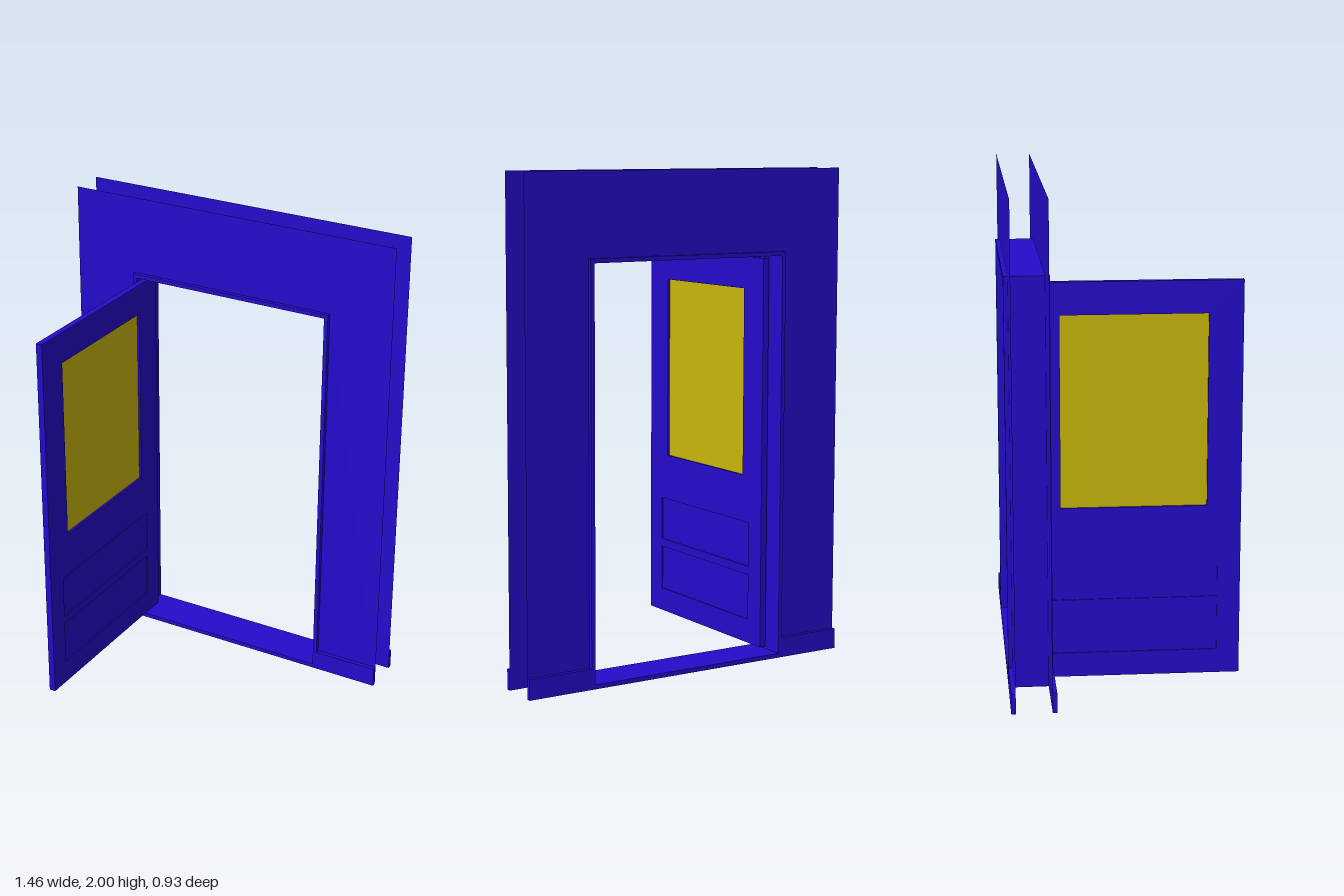
import * as THREE from 'three';

const blue = new THREE.MeshStandardMaterial({ color: 0x240ccc });
const blueThin = new THREE.MeshStandardMaterial({ color: 0x240ccc, side: THREE.DoubleSide });
const yellow = new THREE.MeshStandardMaterial({ color: 0xccb80c });

const BACK = -0.466, FRONT = -0.287; // depth of the frame
const OPEN_X = 0.455, OPEN_Y = 1.67; // opening in the walls
const WALL_X = 0.73, WALL_Y = 2;
const BOARD = 0.018;                 // board thickness

function tracePath(path, x0, y0, x1, y1) {
  path.moveTo(x0, y0);
  path.lineTo(x1, y0);
  path.lineTo(x1, y1);
  path.lineTo(x0, y1);
  path.closePath();
  return path;
}

// Rectangular slab with rectangular holes, each rectangle as [x0, y0, x1, y1]
function slab(name, outer, holes, depth) {
  const shape = tracePath(new THREE.Shape(), ...outer);
  shape.holes = holes.map((h) => tracePath(new THREE.Path(), ...h));
  const mesh = new THREE.Mesh(new THREE.ExtrudeGeometry(shape, { depth, bevelEnabled: false }), blue);
  mesh.name = name;
  return mesh;
}

function box(name, x0, y0, z0, x1, y1, z1, material = blue) {
  const mesh = new THREE.Mesh(new THREE.BoxGeometry(x1 - x0, y1 - y0, z1 - z0), material);
  mesh.position.set((x0 + x1) / 2, (y0 + y1) / 2, (z0 + z1) / 2);
  mesh.name = name;
  return mesh;
}

// Thin wall sheet with a doorway cut out of its lower edge
function wall(name, z) {
  const points = [
    [-WALL_X, 0], [-OPEN_X, 0], [-OPEN_X, OPEN_Y], [OPEN_X, OPEN_Y],
    [OPEN_X, 0], [WALL_X, 0], [WALL_X, WALL_Y], [-WALL_X, WALL_Y],
  ].map(([x, y]) => new THREE.Vector2(x, y));
  const mesh = new THREE.Mesh(new THREE.ShapeGeometry(new THREE.Shape(points)), blueThin);
  mesh.position.z = z;
  mesh.name = name;
  return mesh;
}

// Door leaf drawn from its hinge edge outwards, then swung open
function createDoor() {
  const door = new THREE.Group();
  door.name = 'door';
  const width = 0.852, thick = 0.027;
  const windowHole = [0.136, 0.735, width - 0.136, 1.51];
  const panels = [[0.091, 0.13, width - 0.091, 0.32], [0.091, 0.355, width - 0.091, 0.54]];

  const leaf = slab('doorLeaf', [0, 0.03, width, 1.64], [windowHole, ...panels], thick);
  leaf.position.z = -thick / 2;
  door.add(leaf);

  const inset = ([x0, y0, x1, y1], name, t, material) =>
    door.add(box(name, x0, y0, -t / 2, x1, y1, t / 2, material));
  inset(windowHole, 'windowPane', 0.008, yellow);
  panels.forEach((p) => inset(p, 'doorPanel', 0.017, blue));

  door.position.set(-0.4165, 0, -0.386);
  door.rotation.y = -Math.PI / 2 - 0.01;
  return door;
}

export function createModel() {
  const model = new THREE.Group();
  model.name = 'doorway';

  // Front and back wall sheets
  model.add(wall('frontWall', FRONT - BOARD), wall('backWall', BACK + BOARD));

  // Skirting boards on both faces, either side of the doorway
  for (const z of [BACK, FRONT - BOARD]) {
    model.add(box('skirting', -WALL_X, 0, z, -OPEN_X, 0.083, z + BOARD));
    model.add(box('skirting', OPEN_X, 0, z, WALL_X, 0.083, z + BOARD));
  }

  // Frame lining with jambs, head and threshold
  const frame = slab('doorFrame', [-OPEN_X, 0, OPEN_X, OPEN_Y],
    [[-0.438, 0.018, 0.438, 1.653]], FRONT - BACK);
  frame.position.z = BACK;
  model.add(frame);

  model.add(createDoor());
  return model;
}
